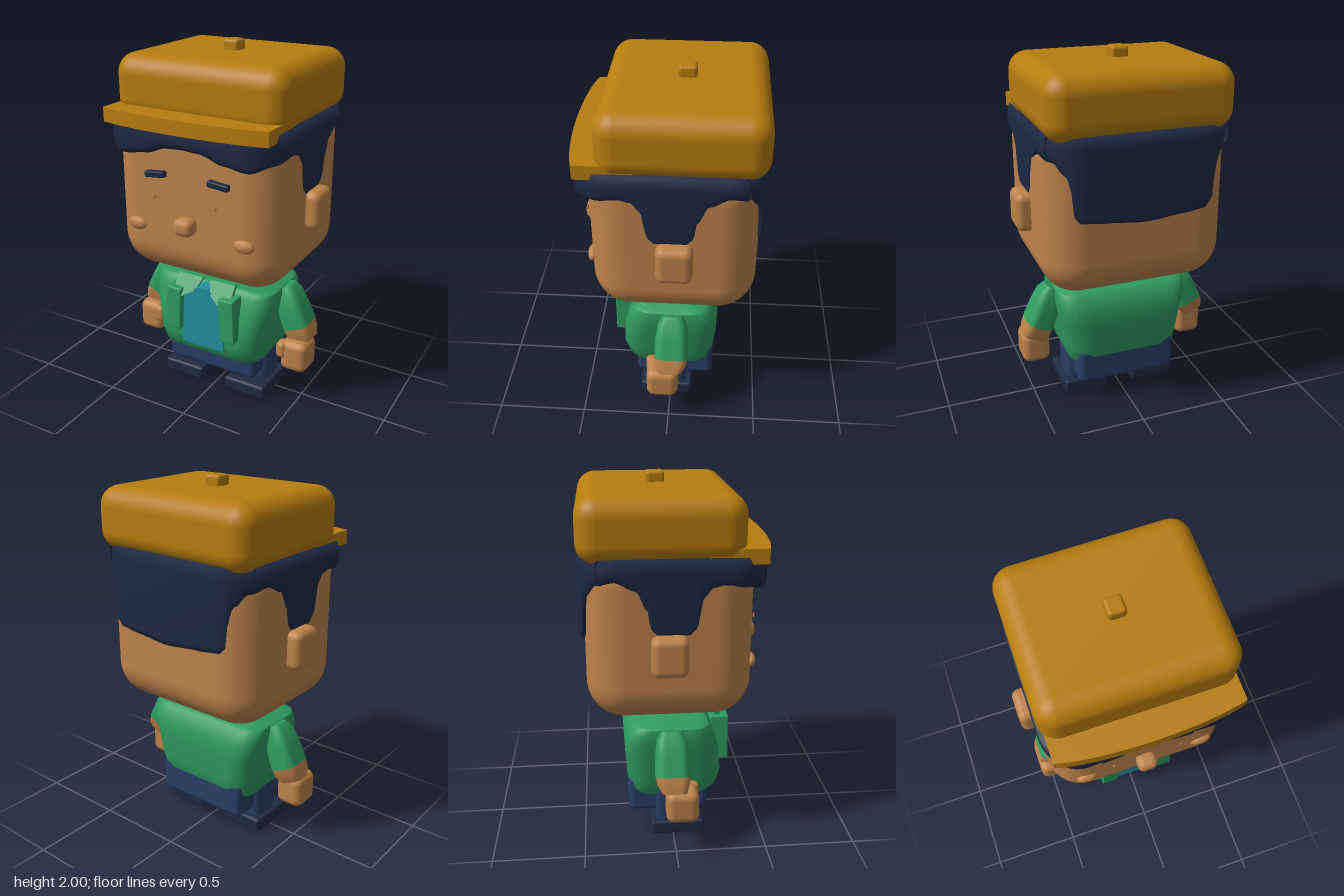
import * as THREE from 'three';
import { RoundedBoxGeometry } from 'three/addons/geometries/RoundedBoxGeometry.js';
import { toCreasedNormals } from 'three/addons/utils/BufferGeometryUtils.js';

const mat = (name, color, side = THREE.FrontSide) => {
  const m = new THREE.MeshStandardMaterial({ color, side });
  m.name = name;
  return m;
};

// Points of a rounded rectangle in x/z, starting at the front centre
function ring(hw, zf, zb, r, n) {
  const p = new THREE.Path();
  p.moveTo(0, zf).lineTo(hw - r, zf);
  p.absarc(hw - r, zf - r, r, Math.PI / 2, 0, true);
  p.absarc(hw - r, zb + r, r, 0, -Math.PI / 2, true);
  p.absarc(-hw + r, zb + r, r, -Math.PI / 2, -Math.PI, true);
  p.absarc(-hw + r, zf - r, r, Math.PI, Math.PI / 2, true);
  p.lineTo(0, zf);
  return p.getSpacedPoints(n).slice(0, n);
}

// Skin closed rings of [x, y, z] points, listed bottom to top
function loft(rows, caps = true) {
  const n = rows[0].length, pos = rows.flat(2), idx = [];
  for (let i = 0; i < rows.length - 1; i++) {
    for (let j = 0; j < n; j++) {
      const k = (j + 1) % n, a = i * n + j, b = i * n + k;
      idx.push(a, b, b + n, a, b + n, a + n);
    }
  }
  if (caps) {
    const top = (rows.length - 1) * n;
    for (let j = 1; j < n - 1; j++) idx.push(0, j + 1, j, top, top + j, top + j + 1);
  }
  const g = new THREE.BufferGeometry();
  g.setAttribute('position', new THREE.Float32BufferAttribute(pos, 3));
  g.setIndex(idx);
  g.computeVertexNormals();
  return g;
}

// Loft through sections [y, halfWidth, zFront, zBack, cornerRadius]
const sections = (list, n = 72) => toCreasedNormals(loft(list.map(([y, hw, zf, zb, r]) =>
  ring(hw, zf, zb, r, n).map((p) => [p.x, y, p.y]))), 0.7);

export function createModel() {
  const skin = mat('skin', 0xbd834c);
  const hairDark = mat('hair', 0x1c2842, THREE.DoubleSide);
  const ochre = mat('cap ochre', 0xb67c0f);
  const green = mat('jacket green', 0x2f9b60);
  const teal = mat('shirt teal', 0x2390a0);
  const navy = mat('trouser navy', 0x2a3e66);
  const shoeDark = mat('shoe dark', 0x1f2b42);

  const model = new THREE.Group();
  model.name = 'capBoy';
  const add = (name, geo, m, x = 0, y = 0, z = 0, parent = model) => {
    const mesh = new THREE.Mesh(geo, m);
    mesh.name = name;
    mesh.position.set(x, y, z);
    parent.add(mesh);
    return mesh;
  };
  // Rounded box from its minimum and maximum on each axis
  const box = (name, m, x0, x1, y0, y1, z0, z1, r, seg = 4) => add(name,
    new RoundedBoxGeometry(x1 - x0, y1 - y0, z1 - z0, seg, r), m,
    (x0 + x1) / 2, (y0 + y1) / 2, (z0 + z1) / 2);

  // Head and neck
  box('head', skin, -0.5, 0.5, 0.77, 1.7, -0.455, 0.405, 0.2, 8);
  box('neck', skin, -0.11, 0.11, 0.64, 0.82, -0.14, 0.095, 0.02);
  box('nose', skin, -0.055, 0.055, 1.07, 1.165, 0.39, 0.485, 0.036);

  // Hair: a shell round the head whose hairline follows [distance from front centre, height]
  const line = [[0, 1.525], [0.1, 1.52], [0.25, 1.48], [0.38, 1.46], [0.5, 1.49], [0.64, 1.51],
    [0.71, 1.49], [0.76, 1.44], [0.775, 1.36], [0.79, 1.28], [0.83, 1.25], [0.98, 1.25],
    [1.02, 1.28], [1.035, 1.38], [1.095, 1.48], [1.2, 1.535], [1.33, 1.51], [1.4, 1.45],
    [1.425, 1.38], [1.435, 1.24], [1.47, 1.21], [1.6, 1.2], [1.81, 1.185]];
  const hairline = (s) => {
    let i = 1;
    while (i < line.length - 1 && line[i][0] < s) i++;
    const [s0, y0] = line[i - 1], [s1, y1] = line[i];
    return y0 + (y1 - y0) * THREE.MathUtils.smoothstep(s, s0, s1);
  };
  const N = 360;
  const base = ring(0.506, 0.47, -0.5, 0.2, N);
  const hairRow = (f, height) => base.map((p, j) => {
    const s = 1.81 * (1 - Math.abs(1 - (2 * j) / N));
    const bulge = p.y < -0.4 ? 0.15 * p.x * p.x : 0;
    return [p.x * f, height(hairline(s)), (p.y + bulge) * f];
  });
  add('hair', loft([
    hairRow(0.93, (b) => b), hairRow(0.98, (b) => b + 0.008), hairRow(1, (b) => b + 0.035),
    hairRow(1, () => 1.59), hairRow(0.98, () => 1.645), hairRow(0.6, () => 1.67),
  ], false), hairDark);

  // Cap with button and curved brim
  box('capCrown', ochre, -0.495, 0.495, 1.61, 1.945, -0.485, 0.35, 0.105, 6);
  box('capButton', ochre, -0.046, 0.046, 1.93, 2, -0.118, -0.023, 0.018);
  const brim = new THREE.Shape();
  brim.moveTo(-0.475, -0.16).lineTo(-0.475, -0.45);
  brim.bezierCurveTo(-0.25, -0.513, 0.25, -0.513, 0.475, -0.45);
  brim.lineTo(0.475, -0.16);
  add('capBrim', new THREE.ExtrudeGeometry(brim, { depth: 0.076, bevelEnabled: false, curveSegments: 20 })
    .rotateX(-Math.PI / 2), ochre, 0, 1.612, 0);

  // Torso and hips
  add('jacket', sections([
    [0.25, 0.305, 0.225, -0.225, 0.11], [0.28, 0.322, 0.255, -0.243, 0.12],
    [0.36, 0.335, 0.275, -0.252, 0.12], [0.5, 0.357, 0.262, -0.262, 0.12],
    [0.6, 0.376, 0.235, -0.264, 0.11], [0.65, 0.376, 0.215, -0.238, 0.1],
    [0.68, 0.37, 0.2, -0.215, 0.09], [0.69, 0.355, 0.185, -0.2, 0.08]]), green);
  box('hips', navy, -0.285, 0.285, 0.13, 0.345, -0.245, 0.2, 0.035);

  // Shirt front
  const shirt = new THREE.Shape([[-0.135, 0.322], [0.135, 0.322], [0.125, 0.62], [0.03, 0.69],
    [-0.03, 0.69], [-0.125, 0.62]].map(([x, y]) => new THREE.Vector2(x, y)));
  add('shirtFront', new THREE.ExtrudeGeometry(shirt, { depth: 0.085, bevelEnabled: false }), teal, 0, 0, 0.199);

  // Mirrored parts: s = 1 is the left side, -1 the right
  for (const s of [1, -1]) {
    const side = s > 0 ? 'left' : 'right';
    const sbox = (name, m, x0, x1, ...rest) =>
      box(side + name, m, Math.min(s * x0, s * x1), Math.max(s * x0, s * x1), ...rest);

    // Face details
    sbox('Ear', skin, 0.46, 0.573, 1.062, 1.273, -0.13, 0.058, 0.04);
    const brow = sbox('Eyebrow', hairDark, 0.127, 0.247, 1.35, 1.383, 0.395, 0.435, 0.008, 2);
    brow.rotation.z = -0.1 * s;
    add(side + 'Eye', new THREE.SphereGeometry(1, 12, 8).scale(0.008, 0.016, 0.005), skin, 0.182 * s, 1.255, 0.442);
    add(side + 'Cheek', new THREE.SphereGeometry(1, 24, 12).scale(0.059, 0.036, 0.028), skin, 0.323 * s, 1.063, 0.402);

    // Sleeve and forearm share one tilted group
    const arm = new THREE.Group();
    arm.name = side + 'Arm';
    arm.position.set(0.385 * s, 0.635, 0);
    arm.rotation.z = 0.4 * s;
    model.add(arm);
    add(side + 'Sleeve', sections([[-0.195, 0.078, 0.075, -0.11, 0.045], [-0.08, 0.074, 0.073, -0.105, 0.045],
      [0.0, 0.067, 0.06, -0.095, 0.04], [0.045, 0.045, 0.035, -0.075, 0.03]], 48), green, 0, 0, 0, arm);
    add(side + 'Forearm', sections([[-0.285, 0.066, 0.055, -0.075, 0.035],
      [-0.24, 0.075, 0.07, -0.1, 0.04], [-0.19, 0.076, 0.073, -0.108, 0.043]], 48), skin, 0, 0, 0, arm);
    sbox('Hand', skin, 0.4, 0.558, 0.208, 0.392, -0.055, 0.12, 0.042);
    sbox('Thumb', skin, 0.38, 0.438, 0.285, 0.382, 0.05, 0.13, 0.024);

    // Jacket edge strip and slanted collar
    const strip = sbox('JacketEdge', green, 0.123, 0.217, 0.412, 0.672, 0.215, 0.32, 0.008, 2);
    strip.rotation.z = 0.04 * s;
    const flap = new THREE.Shape([[0.18, 0.73], [0.022, 0.73], [0.05, 0.665], [0.135, 0.62],
      [0.18, 0.68]].map(([x, y]) => new THREE.Vector2(x * s, y)));
    const collar = new THREE.ExtrudeGeometry(flap, { depth: 0.03, bevelEnabled: false });
    const p = collar.attributes.position;
    for (let i = 0; i < p.count; i++) p.setZ(i, p.getZ(i) + 0.2 + (0.73 - p.getY(i)) * 0.85);
    collar.computeVertexNormals();
    add(side + 'Collar', collar, green);

    // Leg and shoe
    add(side + 'Leg', sections([[0.06, 0.095, 0.075, -0.09, 0.035], [0.11, 0.098, 0.09, -0.095, 0.04],
      [0.2, 0.104, 0.085, -0.1, 0.04], [0.28, 0.106, 0.1, -0.1, 0.04]], 48), navy, 0.212 * s, 0, 0);
    sbox('Shoe', shoeDark, 0.075, 0.335, 0, 0.08, -0.125, 0.175, 0.016, 2);
  }
  return model;
}
